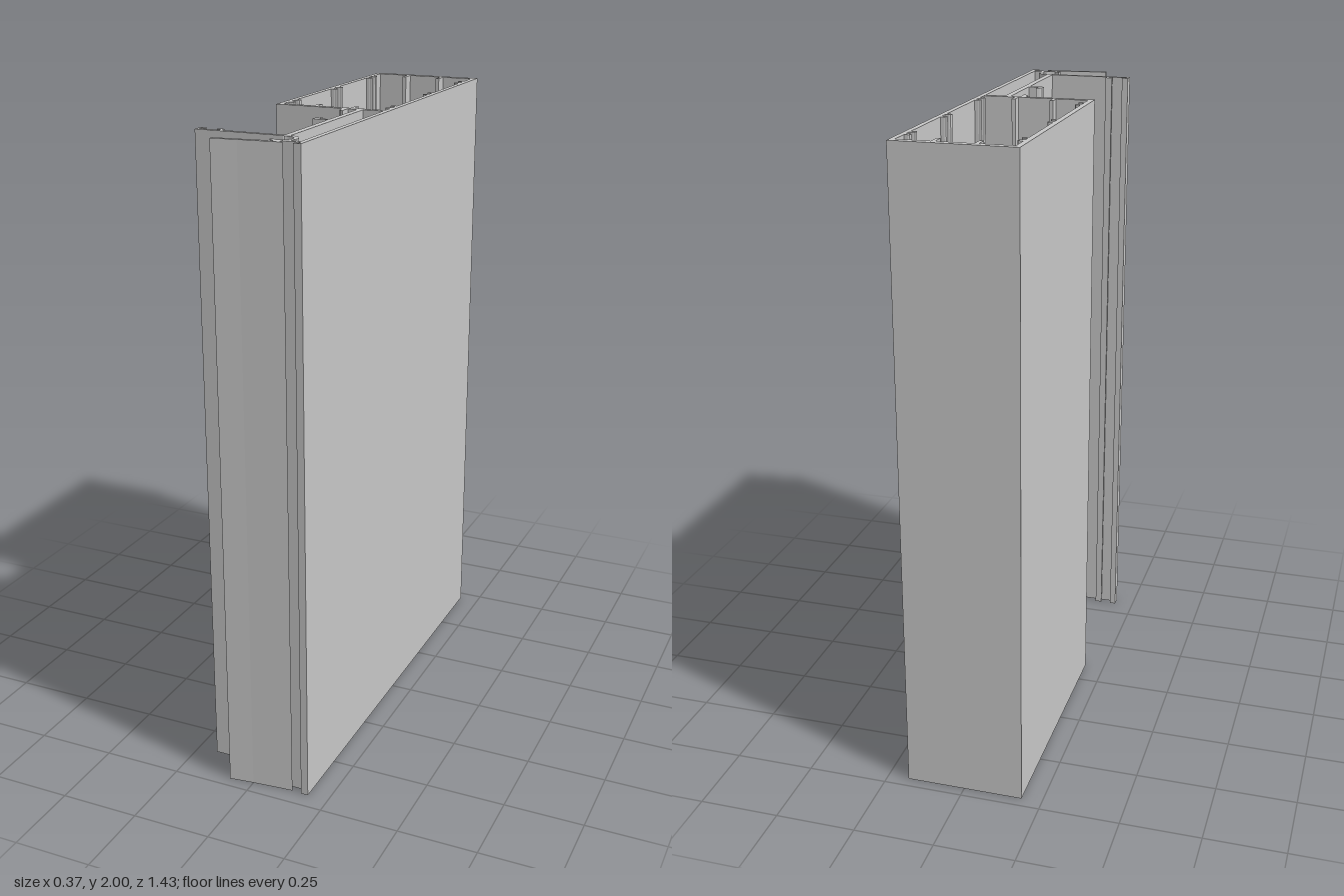
import * as THREE from 'three';

const HEIGHT = 2;

export function createModel() {
  const group = new THREE.Group();
  group.name = 'extrudedFrameProfile';
  const metal = new THREE.MeshStandardMaterial({ color: 0xc8c8c8 });
  metal.name = 'greyAluminium';

  // Points are plan coordinates [x, z]; every part is extruded to full height.
  const toVectors = (pts) => pts.map(([x, z]) => new THREE.Vector2(x, -z));
  const add = (name, pts, hole) => {
    const shape = new THREE.Shape(toVectors(pts));
    // The hole runs opposite to the outline so its walls face inward
    if (hole) shape.holes.push(new THREE.Path(toVectors(hole).reverse()));
    const geo = new THREE.ExtrudeGeometry(shape, { depth: HEIGHT, bevelEnabled: false });
    geo.rotateX(-Math.PI / 2);
    const mesh = new THREE.Mesh(geo, metal);
    mesh.name = name;
    group.add(mesh);
  };
  const rect = (x0, x1, z0, z1) => [[x0, z0], [x1, z0], [x1, z1], [x0, z1]];

  // Hollow box chamber
  add('boxChamber', rect(-0.185, 0.183, -0.715, 0.098), rect(-0.168, 0.167, -0.692, 0.079));

  // Slim ribs on the end walls
  for (const x of [-0.061, 0.06]) {
    add('backRib', rect(x - 0.006, x + 0.006, -0.692, -0.65));
    add('frontRib', rect(x - 0.006, x + 0.006, 0.044, 0.079));
  }

  // Paired ridges with rounded corners along both side walls
  for (const z of [-0.617, -0.576, -0.322, -0.281, -0.006, 0.034]) {
    for (const [wall, dir] of [[-0.168, 1], [0.167, -1]]) {
      add('sideRidge', [[0, -0.009], [0.012, -0.009], [0.016, -0.007], [0.018, -0.003],
        [0.018, 0.003], [0.016, 0.007], [0.012, 0.009], [0, 0.009]]
        .map(([dx, dz]) => [wall + dir * dx, z + dz]));
    }
  }

  // Outer wall running on past the chamber, with a small foot
  add('outerWall', [[0.167, 0.098], [0.183, 0.098], [0.183, 0.697], [0.16, 0.697],
    [0.16, 0.689], [0.172, 0.687], [0.172, 0.675], [0.167, 0.675]]);

  // Inner web and its two seal hooks
  add('innerWeb', rect(0.084, 0.103, 0.098, 0.588));
  add('upperHook', [[0.036, 0.098], [0.053, 0.098], [0.053, 0.136], [0.043, 0.133], [0.036, 0.12]]);
  add('lowerHook', [[0.036, 0.311], [0.036, 0.287], [0.043, 0.28], [0.053, 0.276],
    [0.053, 0.298], [0.084, 0.298], [0.084, 0.311]]);

  // Cross flange with a slotted, lipped end
  add('crossFlange', [[-0.185, 0.602], [-0.185, 0.569], [-0.165, 0.569], [-0.165, 0.576],
    [-0.177, 0.578], [-0.177, 0.588], [-0.117, 0.588], [-0.117, 0.578], [-0.13, 0.576],
    [-0.13, 0.569], [-0.108, 0.569], [-0.108, 0.588], [0.103, 0.588], [0.103, 0.592],
    [0.085, 0.602]]);

  // Curved gasket socket
  const arc = [];
  const N = 14;
  const sweep = (r, i) => {
    const a = -1.95 + (3.3 * i) / N;
    return [0.1 + r * Math.cos(a), 0.633 + r * Math.sin(a)];
  };
  for (let i = 0; i <= N; i++) arc.push(sweep(0.043, i));
  for (let i = N; i >= 0; i--) arc.push(sweep(0.029, i));
  add('gasketSocket', arc);

  // Bridge from the socket to the outer wall
  add('socketBridge', [[0.074, 0.659], [0.08, 0.655], [0.094, 0.663], [0.12, 0.659],
    [0.167, 0.66], [0.167, 0.675], [0.118, 0.675], [0.112, 0.684], [0.094, 0.681],
    [0.09, 0.675], [0.078, 0.669]]);

  // Angled front blade
  add('frontBlade', [[-0.077, 0.702], [0.094, 0.681], [0.112, 0.684], [0.126, 0.688],
    [0.129, 0.694], [0, 0.706], [-0.077, 0.715]]);

  return group;
}
